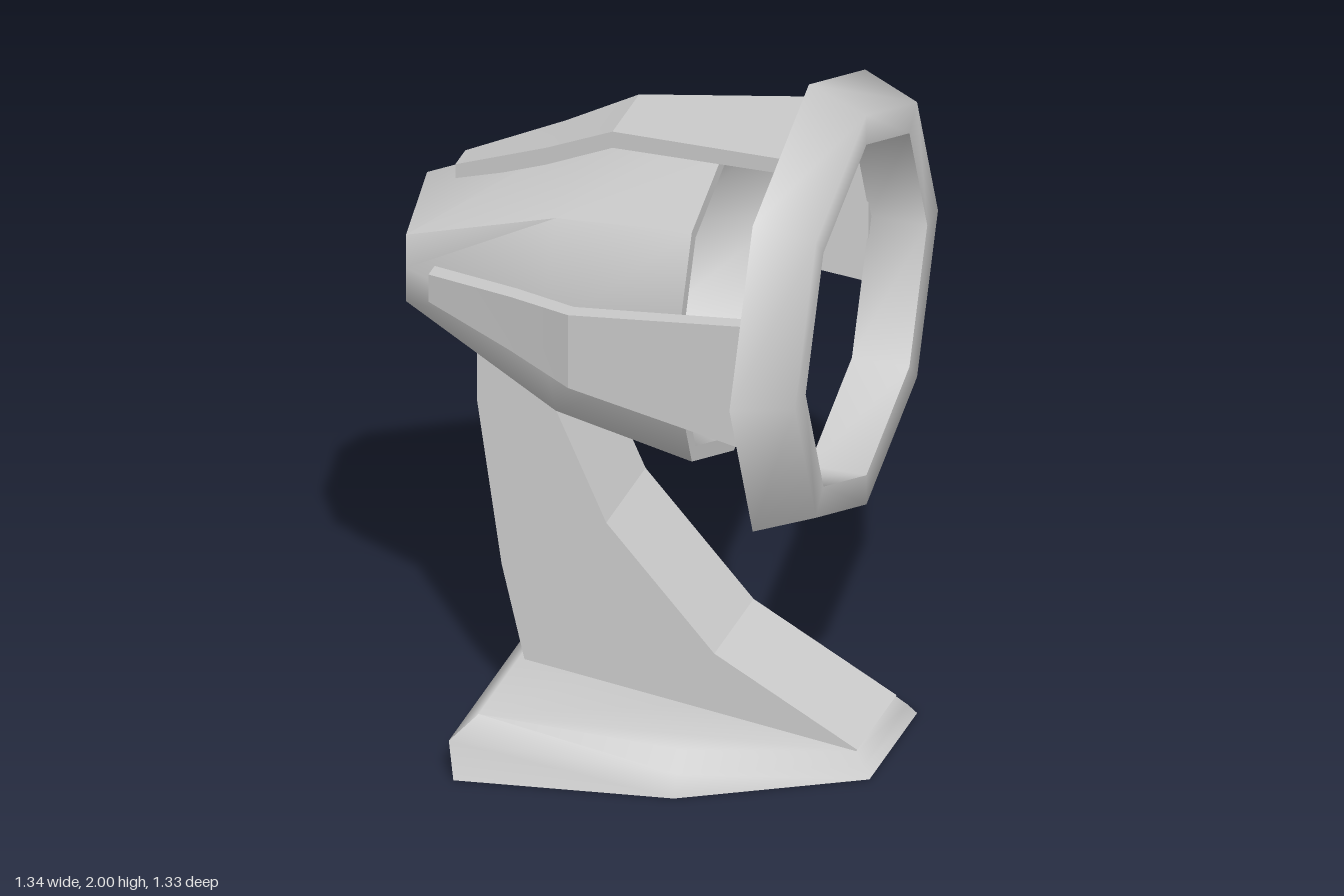
import * as THREE from 'three';
import { toCreasedNormals } from 'three/addons/utils/BufferGeometryUtils.js';

const material = new THREE.MeshStandardMaterial({ color: 0xcccccc });
const AXIS_Y = 1.333; // height of the lamp head's axis

// Skin a series of equal-length closed cross-sections, capped at both ends or joined into a loop.
function loft(rings, { looped = false, crease = 1 } = {}) {
  const n = rings[0].length;
  const position = rings.flat(2);
  const index = [];
  const count = looped ? rings.length : rings.length - 1;
  for (let i = 0; i < count; i++) {
    const a = i * n, b = ((i + 1) % rings.length) * n;
    for (let j = 0; j < n; j++) {
      const k = (j + 1) % n;
      index.push(a + j, a + k, b + j, b + j, a + k, b + k);
    }
  }
  if (!looped) {
    const last = (rings.length - 1) * n;
    for (let j = 1; j < n - 1; j++) {
      index.push(0, j + 1, j, last, last + j, last + j + 1);
    }
  }
  // turn the faces outward when the enclosed volume is negative
  const at = (i) => new THREE.Vector3().fromArray(position, i * 3);
  let volume = 0;
  for (let i = 0; i < index.length; i += 3) {
    volume += at(index[i]).dot(at(index[i + 1]).cross(at(index[i + 2])));
  }
  if (volume < 0) index.reverse();
  const geometry = new THREE.BufferGeometry();
  geometry.setAttribute('position', new THREE.Float32BufferAttribute(position, 3));
  geometry.setIndex(index);
  return toCreasedNormals(geometry, crease);
}

function addMesh(parent, name, geometry) {
  const mesh = new THREE.Mesh(geometry, material);
  mesh.name = name;
  parent.add(mesh);
  return mesh;
}

// Points around the x axis, the first one at the top
const OCTAGON = [0, 45, 90, 135, 180, 225, 270, 315];
function around(x, r) {
  return OCTAGON.map((deg) => {
    const a = THREE.MathUtils.degToRad(deg);
    return [x, r * Math.cos(a), r * Math.sin(a)];
  });
}

// Hexagon with its two side edges split, so it matches the octagon's point count
function hexAround(x, r) {
  return [0, 60, 90, 120, 180, 240, 270, 300].map((deg) => {
    const a = THREE.MathUtils.degToRad(deg);
    const s = deg % 180 === 90 ? r * Math.cos(Math.PI / 6) : r;
    return [x, s * Math.cos(a), s * Math.sin(a)];
  });
}

// Six-cornered base outline: [x, y, half width] from back to front, mirrored across z
function baseOutline(points) {
  return [
    ...points.map(([x, y, z]) => [x, y, z]),
    ...points.map(([x, y, z]) => [x, y, -z]).reverse(),
  ];
}

export function createModel() {
  const model = new THREE.Group();
  model.name = 'spotlight';

  // Wedge-shaped foot
  addMesh(model, 'base', loft([
    baseOutline([[-0.4, 0, 0.57], [0.2, 0, 0.475], [0.667, 0, 0.2]]),
    baseOutline([[-0.425, 0.1, 0.535], [0.2, 0.065, 0.455], [0.645, 0.03, 0.185]]),
    baseOutline([[-0.35, 0.18, 0.505], [0.2, 0.112, 0.4], [0.62, 0.06, 0.165]]),
  ], { crease: 1.25 }));

  // Curved slab that carries the head
  const profile = new THREE.Shape([
    [-0.33, 0.15], [0.6, 0.04], [0.62, 0.065], [0.21, 0.29], [-0.1, 0.64],
    [-0.27, 1.02], [-0.27, 1.15], [-0.47, 1.14], [-0.47, 0.95], [-0.4, 0.46], [-0.335, 0.18],
  ].map(([x, y]) => new THREE.Vector2(x, y)));
  const stand = new THREE.ExtrudeGeometry(profile, { depth: 0.33, bevelEnabled: false });
  stand.translate(0, 0, -0.165);
  addMesh(model, 'stand', stand);

  const head = new THREE.Group();
  head.name = 'head';
  head.position.y = AXIS_Y;
  model.add(head);

  // Tapered housing with a recessed cup at its open end
  addMesh(head, 'housing', loft([
    hexAround(-0.67, 0.205),
    around(-0.2, 0.42),
    around(0.21, 0.5),
    around(0.21, 0.455),
    around(-0.05, 0.315),
  ]));

  // Front ring
  addMesh(head, 'ring', loft([
    around(0.425, 0.51),
    around(0.425, 0.667),
    around(0.59, 0.6),
    around(0.59, 0.51),
  ], { looped: true, crease: 1.25 }));

  // Three bent blades that hold the ring: [x, inner radius, outer radius]
  const blade = loft([
    [-0.575, 0.215, 0.267],
    [-0.3, 0.335, 0.387],
    [-0.1, 0.437, 0.487],
    [0.43, 0.487, 0.532],
  ].map(([x, inner, outer]) => {
    const w = 0.042 + 0.148 * (x + 0.575);
    return [[x, inner, -w], [x, inner, w], [x, outer, w], [x, outer, -w]];
  }), { crease: 0.1 });
  [['topBlade', 0], ['frontBlade', Math.PI / 2], ['backBlade', -Math.PI / 2]].forEach(([name, angle]) => {
    addMesh(head, name, blade).rotation.x = angle;
  });

  return model;
}
